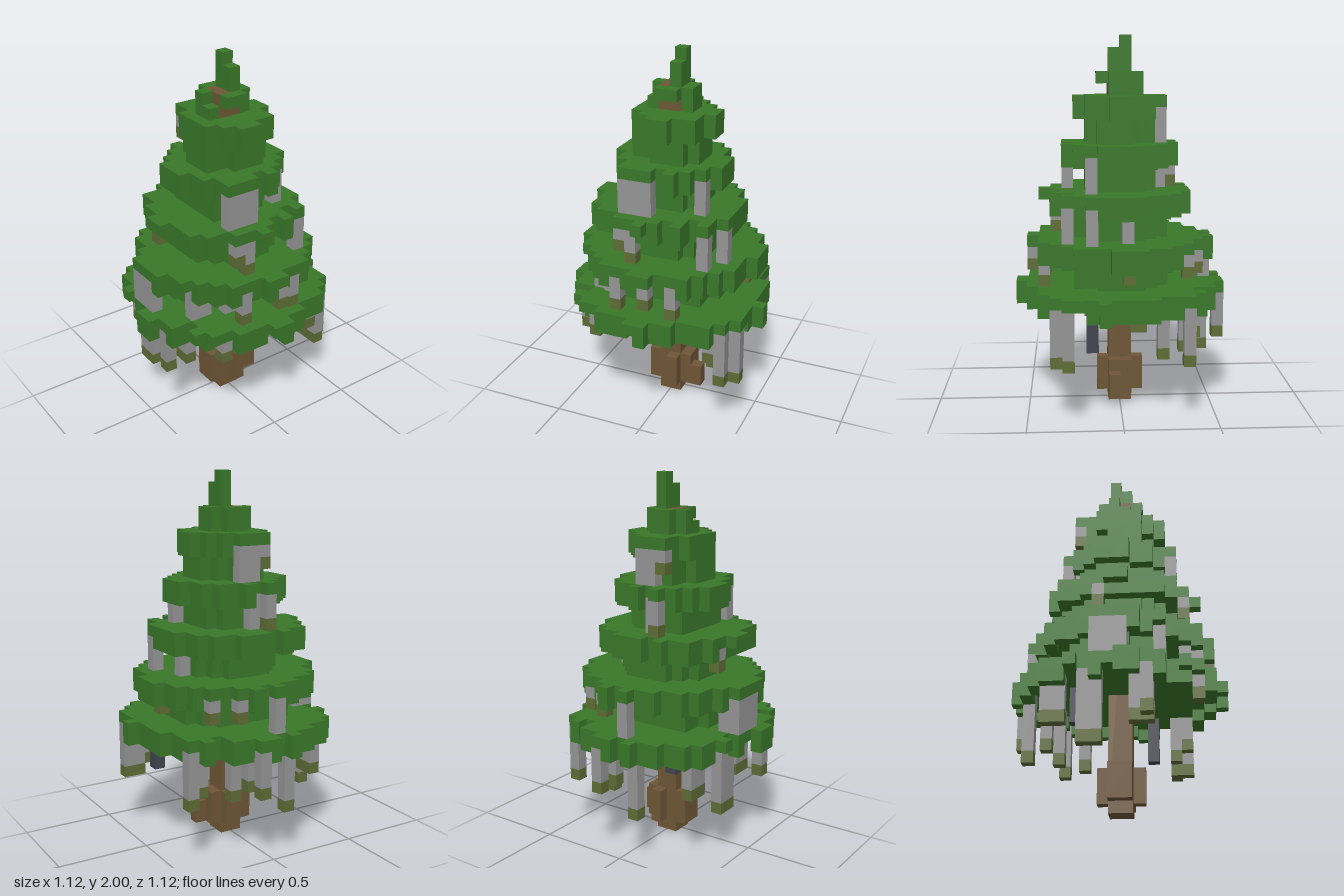
import * as THREE from 'three';
import { mergeGeometries } from 'three/addons/utils/BufferGeometryUtils.js';

// Everything is laid out in whole cubes; the finished tree is 32 cubes tall.
const CUBE = 0.0625;

const mat = (name, color) => {
  const m = new THREE.MeshStandardMaterial({ color });
  m.name = name;
  return m;
};

const boxGeo = (x0, x1, y0, y1, z0, z1) =>
  new THREE.BoxGeometry(x1 - x0, y1 - y0, z1 - z0).translate((x0 + x1) / 2, (y0 + y1) / 2, (z0 + z1) / 2);

export function createModel() {
  const needle = mat('needleGreen', 0x3a782a);
  const bark = mat('barkBrown', 0x6e5636);
  const grey = mat('hangingGrey', 0x959595);
  const olive = mat('tipOlive', 0x5f6c36);
  const slate = mat('darkSlate', 0x444450);

  const tree = new THREE.Group();
  tree.name = 'tree';

  const add = (parent, name, material, geo) => {
    const mesh = new THREE.Mesh(geo, material);
    mesh.name = name;
    parent.add(mesh);
  };
  const box = (parent, name, material, ...size) => add(parent, name, material, boxGeo(...size));

  // Stepped slab: one [left, right] span per row of cubes, from back to front
  const slab = (name, y0, y1, zBack, spans) => {
    const left = [], right = [];
    spans.forEach(([a, b], i) => {
      const z = zBack + i;
      left.push(new THREE.Vector2(a, -z), new THREE.Vector2(a, -z - 1));
      right.push(new THREE.Vector2(b, -z), new THREE.Vector2(b, -z - 1));
    });
    const shape = new THREE.Shape([...left, ...right.reverse()]);
    const geo = new THREE.ExtrudeGeometry(shape, { depth: y1 - y0, bevelEnabled: false });
    add(tree, name, needle, geo.rotateX(-Math.PI / 2).translate(0, y0, 0));
  };

  // Strand rows: x0, x1, z0, z1, bottom, and 1 for an olive end
  const hang = (top, list) => {
    const strands = new THREE.Group();
    strands.name = 'hangingStrands';
    tree.add(strands);
    for (const [x0, x1, z0, z1, bottom, tip] of list) {
      if (tip) box(strands, 'strandTip', olive, x0, x1, bottom, bottom + 1, z0, z1);
      box(strands, 'strand', grey, x0, x1, bottom + tip, top, z0, z1);
    }
  };

  // Tier: a flat layer, a drooping rim one cube below it, and strands in the rim's gaps
  const tier = (name, y, zBack, spans, strands, gaps = []) => {
    slab(name, y + 1, y + 2, zBack, spans);
    const has = (x, z) => {
      const row = spans[z - zBack];
      return row !== undefined && x >= row[0] && x < row[1];
    };
    const open = (x, z) => gaps.some(([a, b]) => a === x && b === z)
      || strands.some(([x0, x1, z0, z1]) => x >= x0 && x < x1 && z >= z0 && z < z1);
    const rim = [];
    spans.forEach(([a, b], i) => {
      const z = zBack + i;
      for (let x = a; x < b; x++) {
        const inner = has(x - 1, z) && has(x + 1, z) && has(x, z - 1) && has(x, z + 1);
        if (!inner && !open(x, z)) rim.push(boxGeo(x, x + 1, y, y + 1, z, z + 1));
      }
    });
    add(tree, name + 'Rim', needle, mergeGeometries(rim));
    hang(y + 1, strands);
  };

  // Trunk and roots
  const trunk = new THREE.Group();
  trunk.name = 'trunk';
  tree.add(trunk);
  box(trunk, 'trunkCore', bark, -1, 1, 0, 29, -1, 1);
  box(trunk, 'rootsSide', bark, -2, 2, 1, 4, -1, 0);
  box(trunk, 'rootsFrontBack', bark, -1, 1, 1, 4, -2, 2);
  box(trunk, 'rootBack', bark, 0, 1, 1, 3, -3, -2);

  // Wide branch tiers
  tier('tier1', 9, -9, [[1, 2], [-3, 5], [-6, 6], [-7, 7], [-6, 7], [-8, 7], [-8, 8], [-9, 8], [-9, 9],
    [-8, 9], [-9, 8], [-8, 8], [-8, 8], [-7, 7], [-7, 7], [-6, 4], [-2, 4], [0, 2]],
  [[-9, -8, -2, -1, 6, 1], [-8, -7, 1, 2, 4, 1], [-7, -6, -2, -1, 6, 1], [-6, -5, -7, -6, 5, 1],
    [-6, -4, 5, 6, 6, 1], [-3, -1, 6, 7, 4, 1], [-4, -3, -5, -4, 5, 1], [1, 3, 5, 6, 6, 1],
    [2, 3, 7, 8, 6, 1], [4, 6, -7, -6, 5, 1], [-6, -5, -3, -2, 5, 1], [5, 6, -6, -5, 7, 1],
    [4, 5, -6, -5, 6, 1], [6, 7, 4, 5, 8, 1], [4, 5, -8, -7, 5, 1]],
  [[-1, 7], [-4, 6], [8, 0], [6, 5], [3, -8]]);
  box(tree, 'tier1Tuft', needle, 5, 6, 10, 11, 6, 7);
  box(tree, 'tier1Tuft', needle, -4, -3, 10, 11, 7, 8);
  tier('tier2', 13, -8, [[-2, 1], [-4, 4], [-5, 5], [-6, 6], [-6, 7], [-7, 7], [-8, 7], [-7, 8],
    [-8, 8], [-7, 7], [-7, 7], [-6, 7], [-6, 6], [-5, 5], [-3, 4], [-2, 2]],
  [[-8, -7, 0, 1, 11, 0], [-6, -5, -5, -4, 12, 1], [-2, 1, 7, 8, 11, 0], [-2, -1, 6, 7, 11, 0],
    [3, 4, 4, 6, 11, 0], [6, 7, -3, -2, 11, 1], [7, 8, -1, 0, 12, 1], [-7, -6, -3, -2, 12, 1],
    [5, 6, 3, 4, 12, 0], [-1, 0, -7, -6, 12, 1], [6, 7, 2, 3, 11, 1]],
  [[3, 6]]);
  tier('tier3', 17, -6, [[-2, 3], [-4, 5], [-5, 4], [-5, 6], [-6, 5], [-6, 6], [-6, 6],
    [-5, 6], [-6, 6], [-5, 5], [-5, 5], [-3, 4]],
  [[4, 5, -5, -4, 15, 0], [2, 3, -6, -5, 15, 0], [5, 6, 1, 2, 15, 1], [5, 6, 2, 3, 16, 1],
    [-2, -1, 5, 6, 16, 1], [-1, 0, -5, -4, 15, 0]]);
  box(tree, 'tier3Tuft', needle, 6, 7, 18, 19, 0, 1);
  box(tree, 'tier3Tuft', needle, -1, 1, 18, 19, 6, 7);
  tier('tier4', 21, -5, [[-1, 2], [-3, 3], [-4, 4], [-4, 5], [-5, 4],
    [-4, 5], [-5, 5], [-4, 5], [-3, 3], [-2, 1]],
  [[4, 5, 0, 3, 19, 0], [2, 3, -4, -3, 19, 0], [-4, -3, 0, 1, 19, 0], [-5, -4, 1, 2, 19, 1]]);
  tier('tier5', 25, -4, [[-1, 1], [-2, 3], [-3, 3], [-4, 4], [-4, 4], [-4, 3], [-2, 2]],
    [[-4, -3, 1, 2, 24, 1], [-4, -3, -1, 1, 23, 0]]);

  // Narrow foliage between the tiers
  slab('core1', 11, 14, -5, [[-2, 2], [-3, 4], [-4, 4], [-4, 4], [-4, 4],
    [-4, 4], [-4, 4], [-4, 4], [-4, 3], [-2, 1]]);
  slab('core2', 15, 18, -4, [[-2, 2], [-3, 3], [-4, 4], [-4, 4], [-4, 4], [-4, 4], [-3, 3], [-2, 2]]);
  slab('core3', 19, 22, -3, [[-2, 2], [-3, 3], [-3, 3], [-3, 3], [-3, 3], [-3, 3]]);
  slab('core4', 23, 26, -3, [[-1, 2], [-2, 3], [-3, 3], [-3, 3], [-3, 2], [-1, 2]]);

  // Crown ring and stepped tip; the trunk shows through small gaps
  box(tree, 'crownBack', needle, -1, 1, 27, 29, -2, -1);
  box(tree, 'crownLeft', needle, 1, 2, 28, 29, -1, 1);
  box(tree, 'crownRight', needle, -2, -1, 27, 29, -1, 1);
  box(tree, 'crownFront', needle, -1, 1, 27, 28, 1, 2);
  box(tree, 'crownFrontTop', needle, -1, 0, 28, 29, 1, 2);
  box(tree, 'tipHigh', needle, -1, 0, 29, 32, -1, 0);
  box(tree, 'tipLow', needle, 0, 1, 29, 31, -1, 0);

  // Dark strands under the lowest tier
  box(tree, 'darkStrand', slate, -4, -3, 7, 10, 2, 3);
  box(tree, 'darkStrand', slate, 2, 3, 6, 10, -6, -5);

  tree.scale.setScalar(CUBE);
  const model = new THREE.Group();
  model.name = 'blockTree';
  model.add(tree);
  return model;
}
